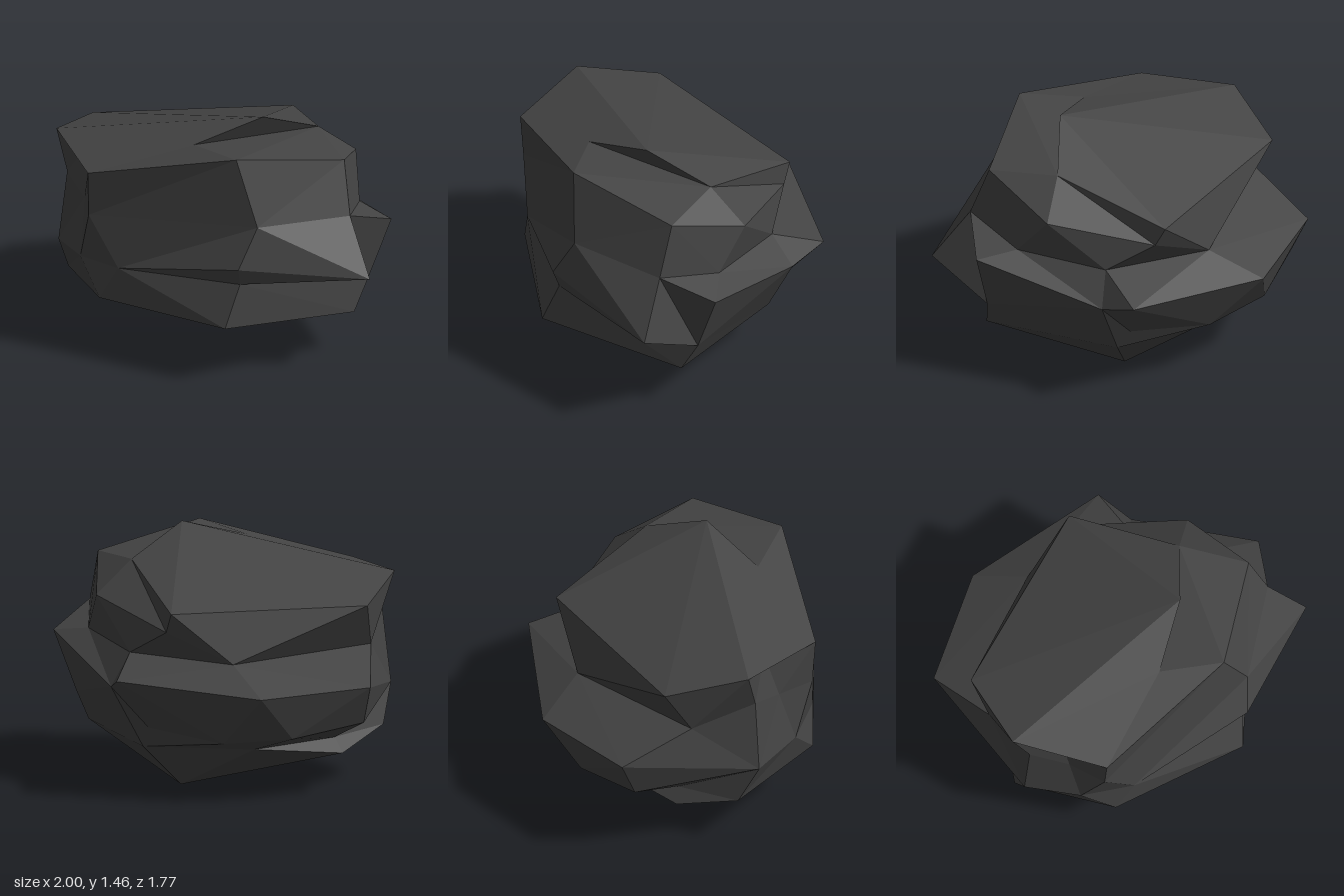
import * as THREE from 'three';

const v = (x, y, z) => new THREE.Vector3(x, y, z);

export function createModel() {
  const group = new THREE.Group();
  group.name = 'rock';
  const stone = new THREE.MeshStandardMaterial({ color: 0x444444 });
  stone.name = 'dark stone';

  // corners where several facets meet, from top to bottom
  const peak = v(0.26, 1.46, 0.25), stepFront = v(-0.1, 1.34, 0.47), stepRight = v(0.52, 1.29, -0.05);
  const topBack = v(0.21, 1.1, -0.67), topBackLeft = v(-0.9, 1.1, -0.29), topLeft = v(-1, 1.21, 0.19);
  const rimRight = v(0.76, 1.26, 0.29), rimBackRight = v(0.71, 1.1, -0.19), rimBack = v(0.245, 0.98, -0.62);
  const waistRight = v(0.82, 0.95, 0.39), waistBackRight = v(0.48, 0.82, -0.45), waistBack = v(-0.15, 0.8, -0.63);
  const lipFront = v(-0.5, 0.6, 0.7), lipUnder = v(0.26, 0.63, 0.8), lipBackRight = v(0.58, 0.63, -0.54);
  const lipLeft = v(-0.97, 0.53, 0.26), lipNotch = v(-0.77, 0.57, 0.53), cleft = v(0.87, 0.44, 0.17);
  const footFront = v(-0.62, 0.38, 0.67), footRight = v(0.81, 0.26, 0.25);
  const footBackRight = v(0.4, 0.26, -0.46), footBack = v(-0.27, 0.29, -0.6);
  const base = v(0.2, 0, -0.28);

  // cross-sections from top to bottom, each running front, right, back, left
  const rings = [
    // step around the peak
    [stepFront, stepFront, stepRight, stepRight, stepRight, stepRight, stepRight,
      topBack, topBack, topBackLeft, topLeft, topLeft],
    // rim
    [v(-0.69, 1.18, 0.67), v(0.21, 1.38, 0.69), rimRight, rimRight, rimBackRight, rimBackRight, rimBack,
      rimBack, topBack, topBackLeft, topLeft, v(-0.77, 1.2, 0.34)],
    // waist
    [v(-0.69, 0.9, 0.65), v(0.35, 0.98, 0.74), waistRight, waistRight, v(0.78, 0.86, 0), waistBackRight,
      waistBackRight, waistBack, waistBack, v(-0.9, 0.84, -0.13), v(-0.92, 0.97, 0.25), v(-0.77, 0.9, 0.43)],
    // ledge
    [lipFront, v(0.26, 0.74, 0.84), v(0.98, 0.63, 0.55), cleft, v(1, 0.82, 0.11), lipBackRight, lipBackRight,
      v(0.52, 0.71, -0.76), v(-0.35, 0.65, -0.89), v(-0.95, 0.67, -0.56), lipLeft, lipNotch],
    // underside of the ledge
    [lipFront, lipUnder, cleft, cleft, cleft, footBackRight, v(0.36, 0.39, -0.53),
      v(-0.1, 0.34, -0.7), v(-0.51, 0.38, -0.7), v(-0.9, 0.44, -0.47), lipLeft, lipNotch],
    // groove above the foot
    [lipFront, lipUnder, cleft, cleft, cleft, footBackRight, footBackRight,
      footBack, footBack, v(-0.69, 0.28, -0.16), lipLeft, lipNotch],
    // foot
    [footFront, v(0.19, 0.37, 0.88), footRight, footRight, footRight, footBackRight, footBackRight,
      footBack, footBack, v(-0.74, 0.19, -0.18), v(-0.94, 0.3, 0.14), footFront],
  ];

  const positions = [];
  const triangle = (a, b, c) => {
    if (a === b || b === c || a === c) return;
    for (const p of [a, b, c]) positions.push(p.x, p.y, p.z);
  };
  const count = rings[0].length;
  for (let i = 0; i < count; i++) {
    const j = (i + 1) % count;
    // facets between sections, each split along its shorter diagonal
    for (let r = 0; r < rings.length - 1; r++) {
      const a = rings[r][i], b = rings[r][j], c = rings[r + 1][i], d = rings[r + 1][j];
      const merged = a === b || c === d || a === c || b === d;
      if (merged || b.distanceTo(c) <= a.distanceTo(d)) {
        triangle(c, d, b);
        triangle(c, b, a);
      } else {
        triangle(c, d, a);
        triangle(d, b, a);
      }
    }
    // closing fans at the peak and the base
    triangle(peak, rings[0][i], rings[0][j]);
    triangle(base, rings[rings.length - 1][j], rings[rings.length - 1][i]);
  }

  const geometry = new THREE.BufferGeometry();
  geometry.setAttribute('position', new THREE.Float32BufferAttribute(positions, 3));
  geometry.computeVertexNormals();
  const boulder = new THREE.Mesh(geometry, stone);
  boulder.name = 'boulder';
  group.add(boulder);
  return group;
}
